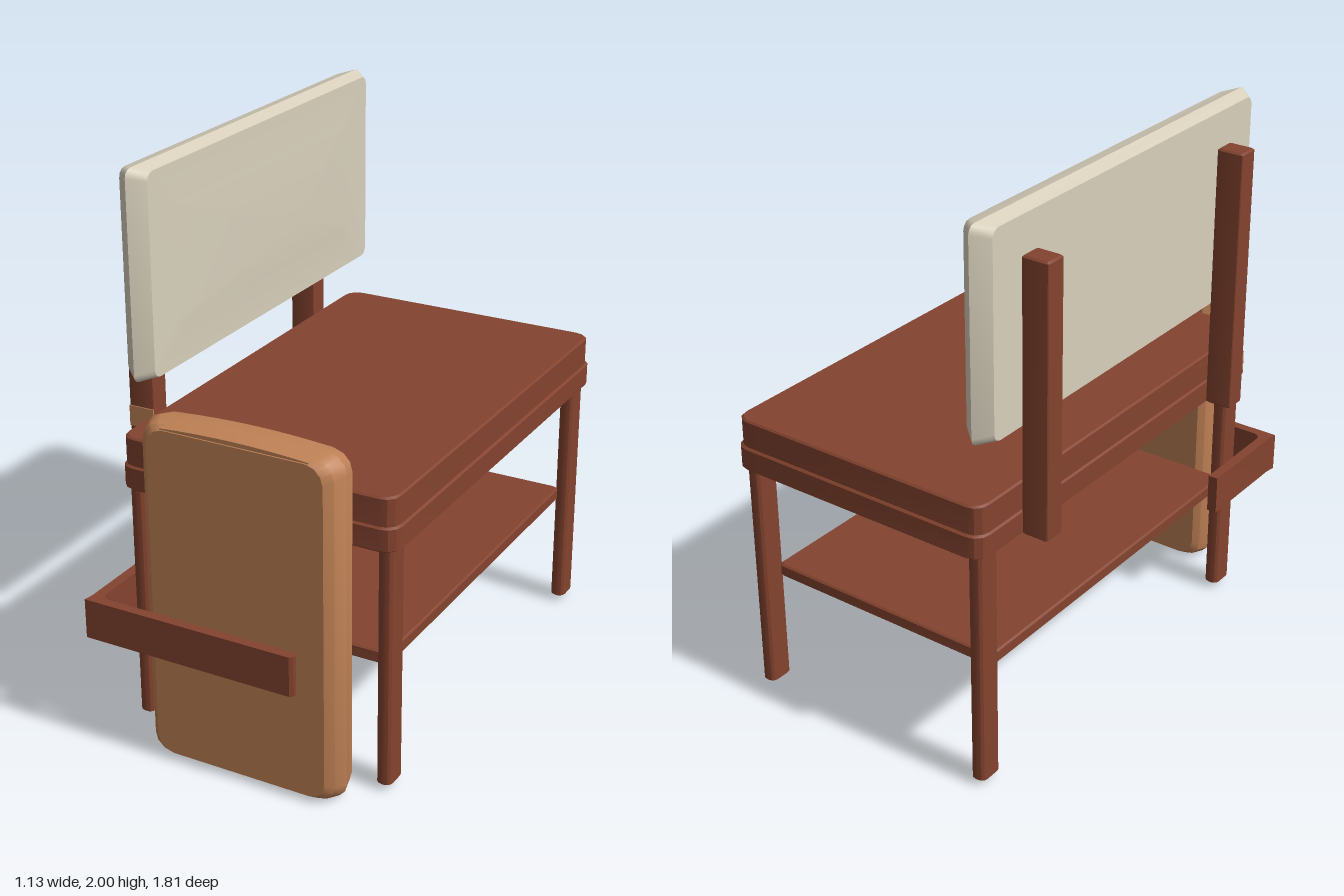
import * as THREE from 'three';
import { toCreasedNormals } from 'three/addons/utils/BufferGeometryUtils.js';

const mat = (name, color) => {
  const m = new THREE.MeshStandardMaterial({ color });
  m.name = name;
  return m;
};

// Rounded-rectangle slab lofted along z through levels [z, insetX, insetY];
// front is the [x, y, z] of the point that closes the last level.
function slab(w, h, r, levels, front = [0, 0, levels.at(-1)[0]], steps = 3) {
  const pos = [], index = [], n = 4 * (steps + 1);
  for (const [z, ix, iy] of levels) {
    for (let k = 0; k < 4; k++) {
      const sx = k === 0 || k === 3 ? 1 : -1, sy = k < 2 ? 1 : -1;
      for (let s = 0; s <= steps; s++) {
        const a = (k + s / steps) * Math.PI / 2;
        pos.push(sx * (w / 2 - ix - r) + r * Math.cos(a), sy * (h / 2 - iy - r) + r * Math.sin(a), z);
      }
    }
  }
  const back = levels.length * n;
  pos.push(0, 0, levels[0][0], ...front);
  const top = (levels.length - 1) * n;
  for (let i = 0; i < n; i++) {
    const j = (i + 1) % n;
    for (let l = 0; l < top; l += n) index.push(l + i, l + j, l + n + j, l + i, l + n + j, l + n + i);
    index.push(back, j, i, back + 1, top + i, top + j);
  }
  const g = new THREE.BufferGeometry();
  g.setAttribute('position', new THREE.Float32BufferAttribute(pos, 3));
  g.setIndex(index);
  return g;
}

// Upright prism with rounded corners and a small edge bevel, from bounds
function block(x0, x1, y0, y1, z0, z1, r, e = 0.006) {
  const h = (y1 - y0) / 2;
  const g = slab(x1 - x0, z1 - z0, r, [[-h, e, e], [e - h, 0, 0], [h - e, 0, 0], [h, e, e]]);
  g.rotateX(-Math.PI / 2);
  return g.translate((x0 + x1) / 2, (y0 + y1) / 2, (z0 + z1) / 2);
}

export function createModel() {
  const model = new THREE.Group();
  model.name = 'chair';
  const wood = mat('dark brown wood', 0x84432f);
  const tan = mat('tan wood', 0xc08256);
  const cream = mat('cream cushion', 0xd8d0bc);
  const add = (name, geometry, material) => {
    const mesh = new THREE.Mesh(toCreasedNormals(geometry, 0.5), material);
    mesh.name = name;
    model.add(mesh);
  };

  // Two-layer seat
  add('seatFrame', block(-0.47, 0.565, 0.903, 0.99, -0.905, 0.715, 0.055), wood);
  add('seatTop', block(-0.463, 0.556, 0.985, 1.092, -0.897, 0.708, 0.05), wood);

  // Legs and low shelf
  for (const [x, side] of [[-0.422, 'Right'], [0.517, 'Left']]) {
    for (const [z, end] of [[0.642, 'front'], [-0.828, 'back']]) {
      add(`${end}${side}Leg`, block(x - 0.028, x + 0.028, 0.025, 0.92, z - 0.048, z + 0.048, 0.022), wood);
    }
  }
  add('shelf', block(-0.43, 0.5, 0.44, 0.488, -0.8, 0.62, 0.02), wood);

  // Posts carrying the backrest
  for (const [z, name] of [[0.457, 'frontPost'], [-0.645, 'backPost']]) {
    add(name, block(-0.568, -0.468, 0.905, 1.862, z - 0.04, z + 0.04, 0.008), wood);
  }
  add('postPatch', new THREE.BoxGeometry(0.096, 0.075, 0.006).translate(-0.518, 1.065, 0.498), tan);

  // Backrest with a faint swelling on its inner face
  const rest = slab(1.545, 0.726, 0.03, [
    [-0.053, 0.045, 0.014], [0, 0, 0], [0.053, 0.045, 0.014], [0.054, 0.2, 0.16],
  ], [0.18, -0.06, 0.074]);
  rest.rotateY(Math.PI / 2);
  add('backrest', rest.translate(-0.412, 1.637, -0.09), cream);

  // Bevelled front board with a gently arched top edge
  const board = slab(0.735, 1.26, 0.06, [
    [-0.073, 0.035, 0.02], [-0.055, 0.012, 0.012], [0, 0, 0], [0.05, 0.018, 0.012], [0.073, 0.045, 0.025],
  ]);
  const p = board.attributes.position;
  for (let i = 0; i < p.count; i++) {
    const x = p.getX(i), y = p.getY(i);
    if (y > 0.5) p.setY(i, y - 0.15 * x * x);
  }
  // Split the top edge so the arch reads across its width
  const pieces = [];
  const arch = new THREE.Shape();
  arch.moveTo(-0.27, 0.58);
  arch.lineTo(0.27, 0.58);
  arch.lineTo(0.27, 0.6);
  arch.quadraticCurveTo(0, 0.622, -0.27, 0.6);
  pieces.push(new THREE.ExtrudeGeometry(arch, {
    depth: 0.01, bevelThickness: 0.065, bevelSize: 0.012, bevelOffset: 0, bevelSegments: 1, curveSegments: 8,
  }).translate(0, 0, -0.005));
  add('frontBoard', board.translate(0.072, 0.635, 0.792), tan);
  add('frontBoardCrown', pieces[0].translate(0.072, 0.635, 0.792), tan);

  // L-shaped strap running around the board
  const strap = new THREE.Shape();
  strap.moveTo(-0.498, -0.905);
  strap.lineTo(0.29, -0.905);
  strap.lineTo(0.302, -0.895);
  strap.lineTo(0.302, -0.88);
  strap.lineTo(0.29, -0.87);
  strap.lineTo(-0.42, -0.87);
  strap.quadraticCurveTo(-0.455, -0.87, -0.455, -0.835);
  strap.lineTo(-0.455, -0.49);
  strap.lineTo(-0.492, -0.49);
  strap.lineTo(-0.492, -0.87);
  const strapGeo = new THREE.ExtrudeGeometry(strap, { depth: 0.145, bevelEnabled: false, curveSegments: 5 });
  strapGeo.rotateX(-Math.PI / 2);
  add('strap', strapGeo.translate(0, 0.417, 0), wood);

  return model;
}
